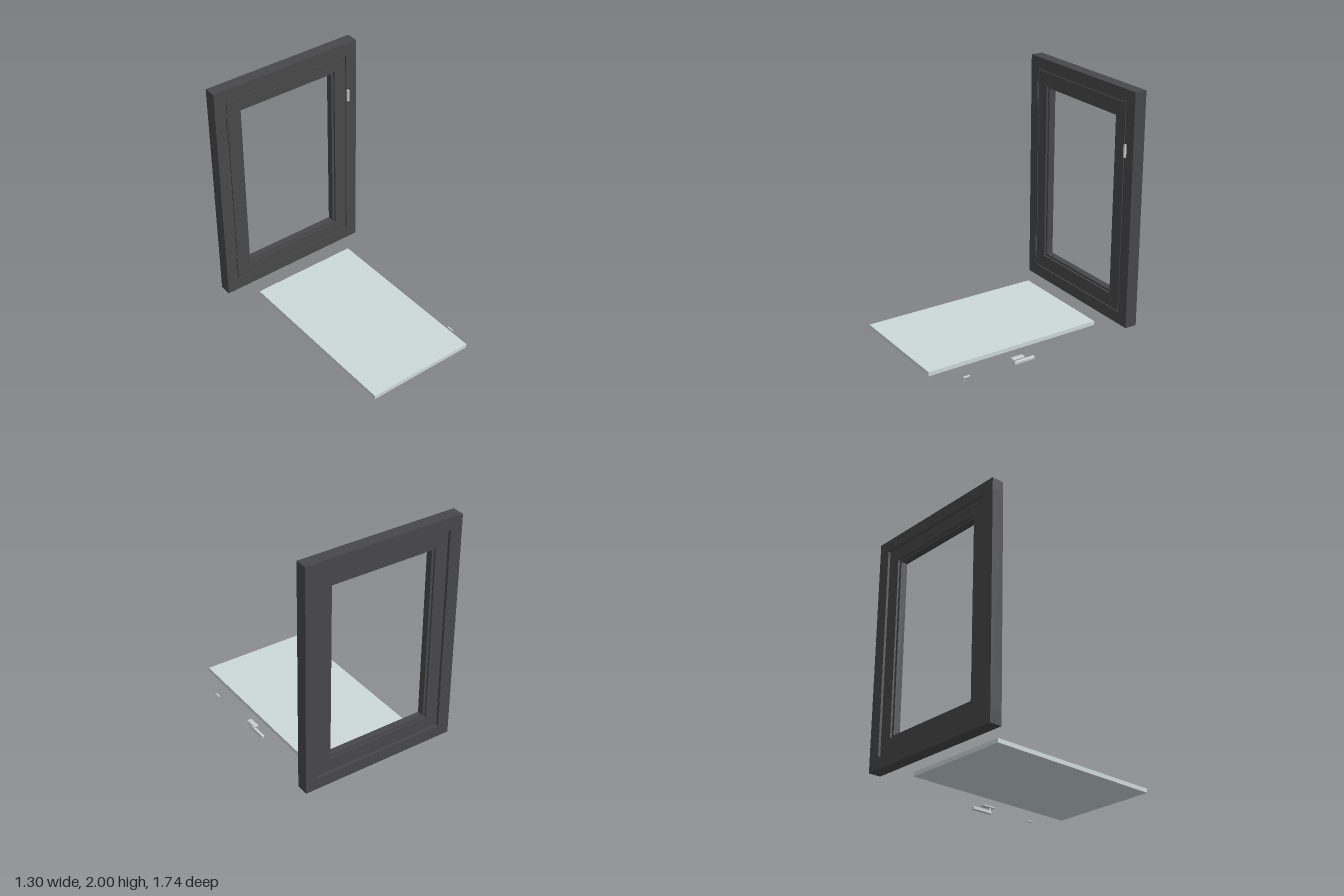
import * as THREE from 'three';
import { RoundedBoxGeometry } from 'three/addons/geometries/RoundedBoxGeometry.js';

const material = (color) => new THREE.MeshStandardMaterial({ color });

export function createModel() {
  const model = new THREE.Group();
  const dark = material(0x48484a);
  const glass = material(0xcdd8da);
  const metal = material(0xcccccc);

  // Box from its min and max corners
  function box(parent, name, mat, [x0, x1], [y0, y1], [z0, z1], radius = 0) {
    const size = [x1 - x0, y1 - y0, z1 - z0];
    const geometry = radius
      ? new RoundedBoxGeometry(...size, 2, radius)
      : new THREE.BoxGeometry(...size);
    const mesh = new THREE.Mesh(geometry, mat);
    mesh.position.set((x0 + x1) / 2, (y0 + y1) / 2, (z0 + z1) / 2);
    mesh.name = name;
    parent.add(mesh);
    return mesh;
  }

  // Four members: full-width rails with the stiles between them
  function surround(name, halfWidth, [y0, y1], width, height, z) {
    const group = new THREE.Group();
    group.name = name;
    box(group, name + 'TopRail', dark, [-halfWidth, halfWidth], [y1 - height, y1], z);
    box(group, name + 'BottomRail', dark, [-halfWidth, halfWidth], [y0, y0 + height], z);
    const sideY = [y0 + height, y1 - height];
    box(group, name + 'LeftStile', dark, [halfWidth - width, halfWidth], sideY, z);
    box(group, name + 'RightStile', dark, [-halfWidth, width - halfWidth], sideY, z);
    model.add(group);
  }

  // Fixed frame, opening sash inside a thin gap, and the glazing bead
  surround('frame', 0.652, [0.117, 2.0], 0.1, 0.097, [-0.87, -0.77]);
  surround('sash', 0.546, [0.222, 1.898], 0.106, 0.108, [-0.855, -0.77]);
  surround('glazingBead', 0.44, [0.33, 1.79], 0.02, 0.019, [-0.84, -0.785]);

  // Hinge barrels
  for (const y of [0.393, 1.723]) {
    const hinge = new THREE.Mesh(new THREE.CylinderGeometry(0.01, 0.01, 0.128, 20), dark);
    hinge.position.set(-0.555, y, -0.76);
    hinge.name = 'hinge';
    model.add(hinge);
  }

  // Catch on the frame
  box(model, 'frameCatch', metal, [0.556, 0.575], [1.483, 1.585], [-0.772, -0.752], 0.004);

  // Loose glass pane lying flat
  box(model, 'glassPane', glass, [-0.452, 0.452], [0.102, 0.135], [-0.62, 0.87]);

  // Loose handle: plate, neck and lever
  const handle = new THREE.Group();
  handle.name = 'handle';
  box(handle, 'handlePlate', metal, [0.47, 0.51], [0.046, 0.059], [0.073, 0.178], 0.004);
  const neck = new THREE.Mesh(new THREE.CylinderGeometry(0.011, 0.011, 0.036, 20), metal);
  neck.position.set(0.49, 0.031, 0.145);
  neck.name = 'handleNeck';
  handle.add(neck);
  box(handle, 'handleLever', metal, [0.478, 0.502], [0, 0.026], [-0.025, 0.157], 0.005);
  model.add(handle);

  // Loose strike plate and small pin
  box(model, 'strikePlate', metal, [0.523, 0.538], [0.048, 0.059], [0.572, 0.627], 0.003);
  box(model, 'pin', metal, [0.563, 0.567], [0.043, 0.047], [0.633, 0.638]);

  return model;
}
